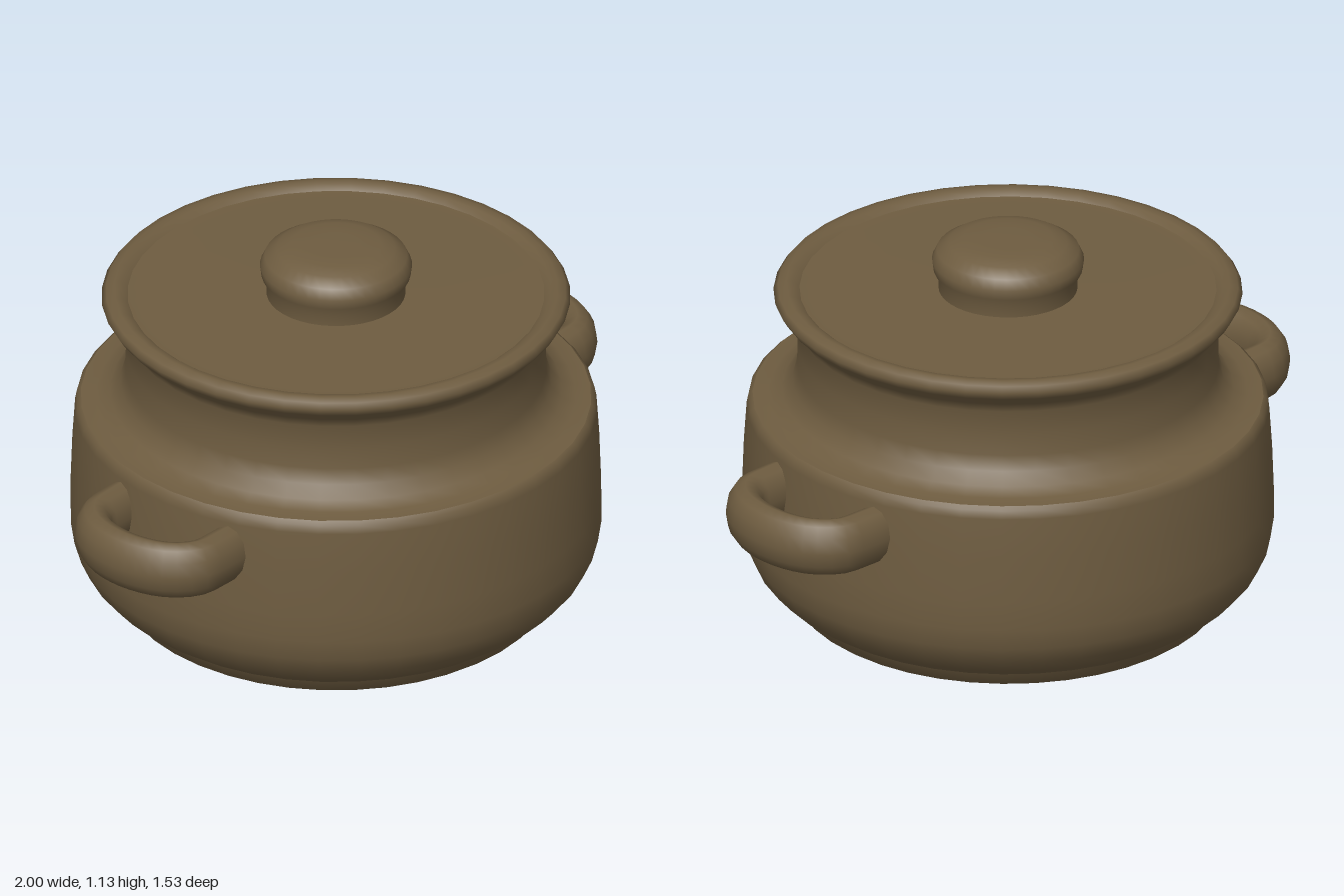
import * as THREE from 'three';

const clay = new THREE.MeshStandardMaterial({ color: 0x6e5c40 });
clay.name = 'brown clay';

// Turned part from [radius, height] pairs, listed from the bottom up
function turned(name, profile) {
  const points = profile.map(([r, y]) => new THREE.Vector2(r, y));
  const mesh = new THREE.Mesh(new THREE.LatheGeometry(points, 40), clay);
  mesh.name = name;
  return mesh;
}

// Oval-section loop handle lying flat; side is +1 (left) or -1 (right)
function handle(name, side) {
  const path = [[0.68, 0.2], [0.77, 0.2], [0.85, 0.19], [0.915, 0.125], [0.943, 0],
    [0.915, -0.125], [0.85, -0.19], [0.77, -0.2], [0.68, -0.2]];
  const curve = new THREE.CatmullRomCurve3(
    path.map(([x, z]) => new THREE.Vector3(x, 0, z)));
  const geometry = new THREE.TubeGeometry(curve, 24, 0.057, 12, false);
  geometry.scale(1, 1.53, 1);
  const mesh = new THREE.Mesh(geometry, clay);
  mesh.name = name;
  mesh.position.y = 0.502;
  mesh.rotation.y = side > 0 ? 0 : Math.PI;
  return mesh;
}

export function createModel() {
  const pot = new THREE.Group();
  pot.name = 'lidded pot';

  // Foot and rounded belly
  pot.add(turned('base', [[0, 0], [0.6, 0]]));
  pot.add(turned('foot', [[0.6, 0], [0.617, 0.012], [0.64, 0.05]]));
  pot.add(turned('belly', [
    [0.64, 0.05], [0.69, 0.085], [0.73, 0.13], [0.755, 0.185], [0.765, 0.25],
    [0.765, 0.34], [0.76, 0.48], [0.752, 0.6], [0.747, 0.625], [0.735, 0.635],
  ]));

  // Shoulder ledge sweeping up into the neck and flared rim
  pot.add(turned('neck', [
    [0.735, 0.635], [0.69, 0.638], [0.65, 0.655], [0.62, 0.69], [0.607, 0.735],
    [0.605, 0.8], [0.607, 0.875], [0.63, 0.91], [0.66, 0.94], [0.675, 0.965],
    [0.662, 0.982], [0.638, 0.99], [0.618, 0.987], [0.6, 0.973],
  ]));

  // Slightly sunken lid
  pot.add(turned('lid', [[0.6, 0.973], [0.57, 0.971], [0.3, 0.976], [0, 0.98]]));

  // Lid knob
  pot.add(turned('knob', [
    [0.2, 0.965], [0.2, 1.01], [0.215, 1.04], [0.219, 1.07], [0.205, 1.1],
    [0.17, 1.122], [0.13, 1.133], [0.07, 1.135], [0, 1.135],
  ]));

  pot.add(handle('left handle', 1), handle('right handle', -1));
  return pot;
}
